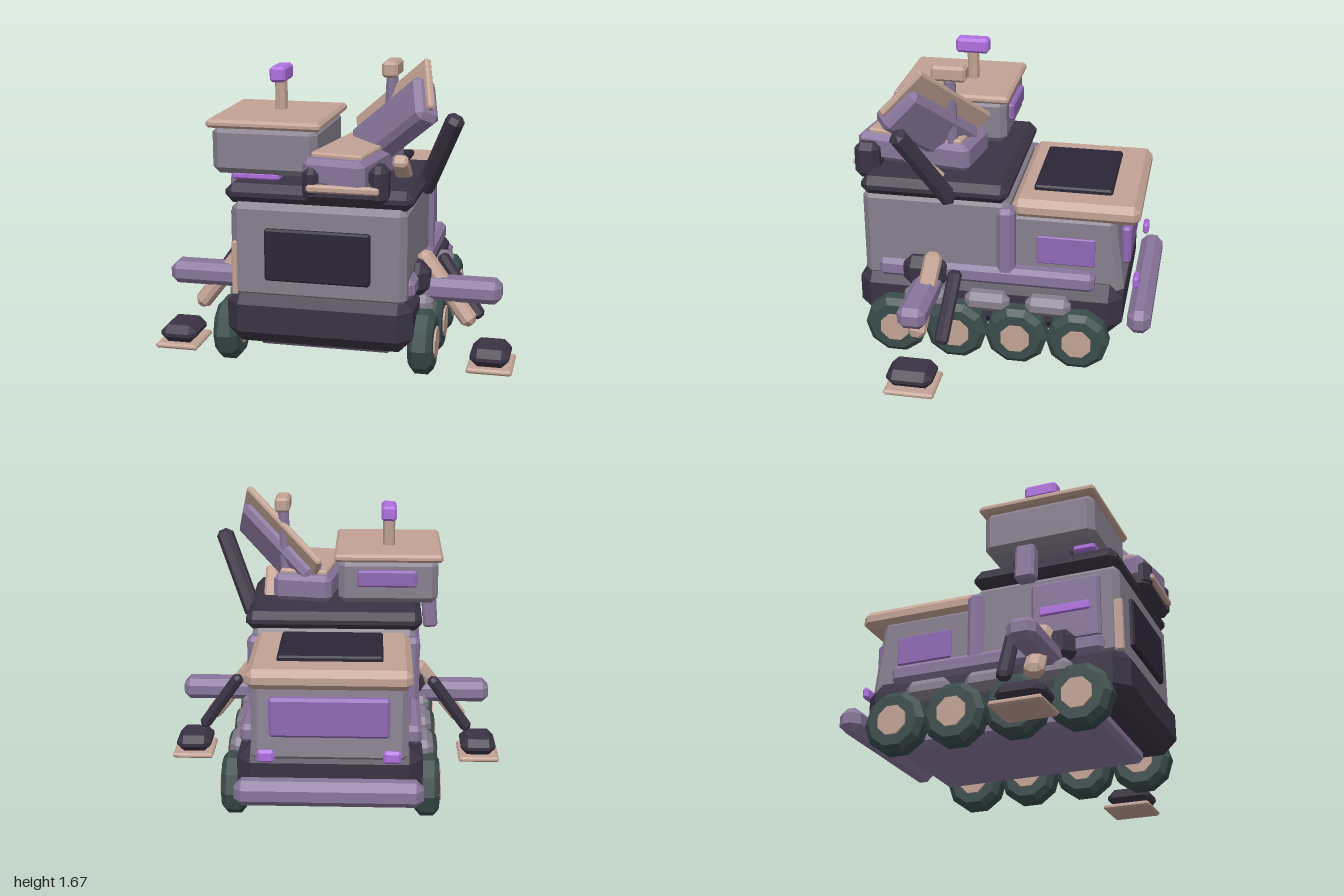
import * as THREE from 'three';
import { ConvexGeometry } from 'three/addons/geometries/ConvexGeometry.js';

const mat = (color) => new THREE.MeshStandardMaterial({ color, flatShading: true });
const M = {
  dark: mat(0x3a3344), panel: mat(0x2b2636), purple: mat(0x89769c), grey: mat(0x87808f),
  beige: mat(0xc2a294), bright: mat(0xb070e0), glass: mat(0x8f68b4), tyre: mat(0x3a4c4b),
};

function add(parent, name, geometry, material) {
  const mesh = new THREE.Mesh(geometry, material);
  mesh.name = name;
  parent.add(mesh);
  return mesh;
}

// Box with chamfered edges, given by its extents; warp may move the corner points
function box(parent, name, material, [x0, x1], [y0, y1], [z0, z1], c = 0.02, warp) {
  const h = [(x1 - x0) / 2, (y1 - y0) / 2, (z1 - z0) / 2];
  const k = Math.min(c, ...h.map((v) => v * 0.8));
  const pts = [];
  for (const sx of [-1, 1]) for (const sy of [-1, 1]) for (const sz of [-1, 1]) {
    for (let a = 0; a < 3; a++) {
      const [x, y, z] = h.map((v, i) => (i === a ? v : v - k));
      const p = new THREE.Vector3(sx * x, sy * y, sz * z);
      if (warp) warp(p);
      pts.push(p);
    }
  }
  const mesh = add(parent, name, new ConvexGeometry(pts), material);
  mesh.position.set((x0 + x1) / 2, (y0 + y1) / 2, (z0 + z1) / 2);
  return mesh;
}

// Chamfered bar running between two points
function bar(parent, name, material, from, to, w, d, c = 0.025) {
  const a = new THREE.Vector3(...from), b = new THREE.Vector3(...to);
  const l = a.distanceTo(b);
  const mesh = box(parent, name, material, [-w / 2, w / 2], [-l / 2, l / 2], [-d / 2, d / 2], c);
  mesh.position.copy(a).add(b).multiplyScalar(0.5);
  mesh.quaternion.setFromUnitVectors(new THREE.Vector3(0, 1, 0), b.sub(a).normalize());
  return mesh;
}

function buildWheel(parent, side, z) {
  const wheel = new THREE.Group();
  wheel.name = 'wheel';
  wheel.position.set(side * 0.53, 0.18, z);
  const profile = [[0, -0.065], [0.14, -0.065], [0.174, -0.035], [0.174, 0.035], [0.14, 0.065], [0, 0.065]];
  const tyre = new THREE.LatheGeometry(profile.map((p) => new THREE.Vector2(...p)), 10).rotateZ(Math.PI / 2);
  add(wheel, 'tyre', tyre, M.tyre);
  const hub = new THREE.CylinderGeometry(0.085, 0.085, 0.15, 8).rotateY(Math.PI / 8).rotateZ(Math.PI / 2);
  add(wheel, 'hub', hub, M.beige);
  parent.add(wheel);
}

function buildOutrigger(parent, s) {
  const g = new THREE.Group();
  g.name = 'outrigger';
  const X = (a, b) => (s > 0 ? [a, b] : [-b, -a]);
  box(g, 'outriggerBracket', M.dark, X(0.42, 0.545), [0.40, 0.585], [0.28, 0.525], 0.05);
  box(g, 'outriggerBeam', M.purple, X(0.44, 0.925), [0.365, 0.49], [0.305, 0.46], 0.035);
  bar(g, 'outriggerStrut', M.beige, [s * 0.48, 0.61, 0.35], [s * 0.77, 0.235, 0.395], 0.09, 0.1, 0.03);
  bar(g, 'outriggerPiston', M.dark, [s * 0.57, 0.56, 0.21], [s * 0.80, 0.225, 0.25], 0.065, 0.075, 0.02);
  box(g, 'footBlock', M.dark, X(0.77, 0.98), [0.03, 0.13], [0.265, 0.52], 0.04);
  box(g, 'footPlate', M.beige, X(0.755, 1.0), [0, 0.03], [0.25, 0.525], 0.01);
  parent.add(g);
}

function buildHull(g) {
  box(g, 'hull', M.dark, [-0.5, 0.5], [0.17, 0.47], [-0.69, 0.795], 0.075);
  box(g, 'bellyPlate', M.purple, [-0.37, 0.37], [0.11, 0.2], [-0.58, 0.62], 0.025);
  box(g, 'bumper', M.purple, [-0.5, 0.5], [0.205, 0.345], [-0.85, -0.72], 0.04);
  for (const s of [-1, 1]) {
    const X = (a, b) => (s > 0 ? [a, b] : [-b, -a]);
    box(g, 'sideRail', M.purple, X(0.38, 0.495), [0.44, 0.545], [-0.535, 0.67], 0.025);
    for (const z of [-0.46, -0.12, 0.22, 0.56]) buildWheel(g, s, z);
    for (const z of [-0.29, 0.05, 0.39]) {
      box(g, 'fender', M.grey, X(0.44, 0.565), [0.3, 0.41], [z - 0.125, z + 0.125], 0.035);
    }
    box(g, 'headlight', M.bright, X(0.285, 0.38), [0.43, 0.5], [-0.77, -0.735], 0.015);
    buildOutrigger(g, s);
  }
}

function buildBody(g) {
  box(g, 'body', M.grey, [-0.465, 0.465], [0.42, 0.94], [-0.06, 0.755], 0.035);
  box(g, 'frontPanel', M.panel, [-0.28, 0.28], [0.53, 0.81], [0.745, 0.78], 0.01);
  box(g, 'frontBar', M.beige, [-0.46, -0.43], [0.44, 0.73], [0.72, 0.77], 0.006);
  // Cab whose far wall leans inward
  box(g, 'cab', M.grey, [-0.42, 0.42], [0.4, 0.86], [-0.69, -0.03], 0.035,
    (p) => { if (p.y > 0 && p.z < 0) p.z += 0.05; });
  box(g, 'cabRoof', M.beige, [-0.435, 0.435], [0.83, 0.94], [-0.765, -0.07], 0.035);
  box(g, 'roofHatch', M.panel, [-0.28, 0.28], [0.93, 0.967], [-0.6, -0.17], 0.01);
  box(g, 'windscreen', M.glass, [-0.32, 0.32], [0.55, 0.77], [-0.715, -0.66], 0.015);
  for (const s of [-1, 1]) {
    const X = (a, b) => (s > 0 ? [a, b] : [-b, -a]);
    box(g, 'pillar', M.purple, X(0.38, 0.49), [0.455, 0.9], [-0.095, 0.005], 0.025);
    box(g, 'cabSideWindow', M.glass, X(0.40, 0.432), [0.57, 0.735], [-0.53, -0.21], 0.006);
  }
  // Side door with its slot window
  box(g, 'sideDoor', M.purple, [-0.495, -0.45], [0.52, 0.88], [0.28, 0.66], 0.015);
  box(g, 'doorSlot', M.bright, [-0.508, -0.48], [0.68, 0.73], [0.33, 0.61], 0.006);
}

function buildTurret(g) {
  box(g, 'deck', M.dark, [-0.5, 0.5], [0.93, 1.035], [-0.06, 0.755], 0.04);
  box(g, 'turretBase', M.dark, [-0.46, -0.14], [1.02, 1.08], [0.16, 0.5], 0.01);
  box(g, 'turretLamp', M.bright, [-0.49, -0.23], [1.035, 1.075], [0.52, 0.64], 0.01);
  box(g, 'turretCab', M.grey, [-0.59, -0.025], [1.065, 1.32], [0.045, 0.67], 0.035);
  box(g, 'turretRoof', M.beige, [-0.615, 0], [1.31, 1.355], [0.025, 0.685], 0.015);
  box(g, 'turretWindow', M.glass, [-0.47, -0.13], [1.17, 1.265], [0.015, 0.06], 0.01);
  bar(g, 'hangingArm', M.purple, [-0.545, 1.08, 0.28], [-0.56, 0.87, 0.28], 0.085, 0.11, 0.015);
  const post = add(g, 'periscopePost', new THREE.CylinderGeometry(0.035, 0.035, 0.19, 8), M.beige);
  post.position.set(-0.31, 1.43, 0.285);
  box(g, 'periscopeHead', M.bright, [-0.352, -0.265], [1.51, 1.595], [0.19, 0.38], 0.015);
  bar(g, 'sightPost', M.purple, [0.285, 1.15, 0.28], [0.302, 1.57, 0.285], 0.06, 0.06, 0.018);
  box(g, 'sightHead', M.beige, [0.26, 0.345], [1.555, 1.64], [0.19, 0.38], 0.015);
}

function buildLauncher(g) {
  // Low arm turned slightly sideways, with a lid
  const low = new THREE.Group();
  low.name = 'lowArm';
  low.position.set(0.14, 0, 0.48);
  low.rotation.y = -0.16;
  box(low, 'lowArmBody', M.purple, [-0.17, 0.17], [1.04, 1.195], [-0.33, 0.33], 0.03);
  box(low, 'lowArmLid', M.beige, [-0.14, 0.14], [1.185, 1.218], [-0.28, 0.27], 0.01);
  g.add(low);
  box(g, 'noseBar', M.dark, [-0.07, 0.36], [0.97, 1.1], [0.68, 0.81], 0.035);
  box(g, 'noseLip', M.beige, [-0.04, 0.335], [1.03, 1.07], [0.76, 0.835], 0.01);
  box(g, 'noseEnd', M.dark, [0.275, 0.375], [0.97, 1.175], [0.68, 0.82], 0.035);
  box(g, 'noseEnd', M.dark, [-0.07, 0.03], [0.99, 1.155], [0.68, 0.82], 0.035);

  // Raised arm: a purple case with a beige plate through it, in a tilted frame
  const u = new THREE.Vector3(0.43, 0.38, 0.28).normalize();
  const w = new THREE.Vector3().crossVectors(u, new THREE.Vector3(0.06, -0.22, 0.21)).normalize();
  const v = new THREE.Vector3().crossVectors(w, u);
  const high = new THREE.Group();
  high.name = 'raisedArm';
  high.quaternion.setFromRotationMatrix(new THREE.Matrix4().makeBasis(u, v, w));
  high.position.set(0.51, 1.67, 0.39);
  box(high, 'raisedPlate', M.beige, [-0.64, 0], [0, 0.31], [-0.02, 0.02], 0.01);
  box(high, 'raisedCase', M.purple, [-0.63, -0.03], [0.1, 0.36], [-0.07, 0.075], 0.03);
  g.add(high);
  bar(g, 'armLink', M.beige, [0.385, 1.15, 0.51], [0.385, 0.92, 0.22], 0.08, 0.07, 0.015);
  bar(g, 'armPiston', M.dark, [0.675, 1.385, 0.49], [0.475, 0.93, 0.25], 0.09, 0.095, 0.025);
}

export function createModel() {
  const model = new THREE.Group();
  model.name = 'outriggerTruck';
  for (const [name, build] of Object.entries({
    chassis: buildHull, bodywork: buildBody, turret: buildTurret, launcher: buildLauncher,
  })) {
    const part = new THREE.Group();
    part.name = name;
    build(part);
    model.add(part);
  }
  return model;
}
